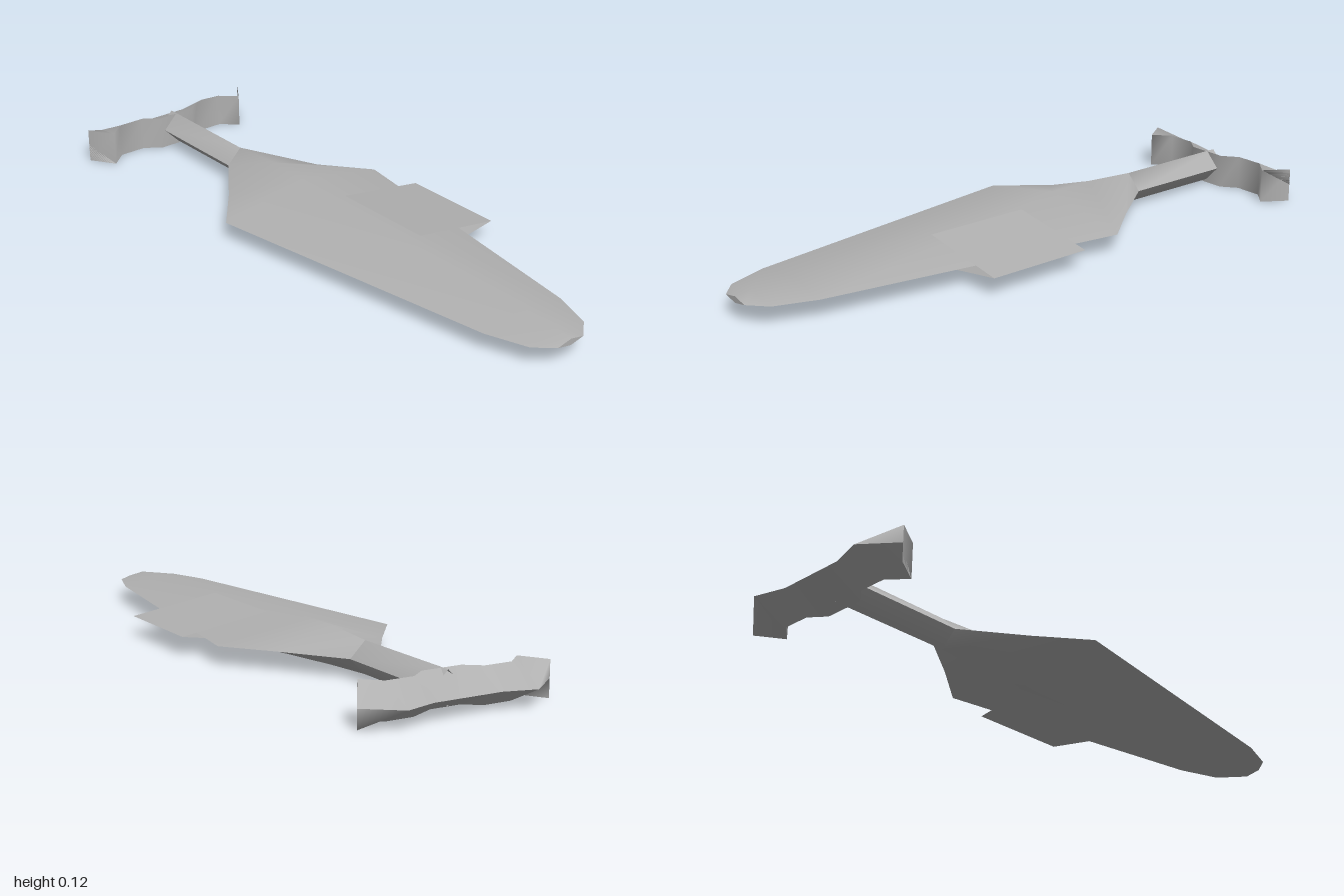
import * as THREE from 'three';

const MID_Y = 0.061, MID_Z = 0.01;

// Smooth sheet through rows of [x, y, z] points
function sheet(rows) {
  const n = rows[0].length, index = [];
  for (let i = 0; i < rows.length - 1; i++) {
    for (let j = 0; j < n - 1; j++) {
      const a = i * n + j, b = a + 1, c = a + n, d = c + 1;
      index.push(a, b, c, b, d, c);
    }
  }
  const geo = new THREE.BufferGeometry();
  geo.setAttribute('position', new THREE.Float32BufferAttribute(rows.flat(2), 3));
  geo.setIndex(index);
  geo.computeVertexNormals();
  return geo;
}

export function createModel() {
  const model = new THREE.Group();
  const grey = new THREE.MeshStandardMaterial({ color: 0xb0b0b0, side: THREE.DoubleSide });
  grey.name = 'plain grey';

  function part(name, ...rowSets) {
    const group = new THREE.Group();
    group.name = name;
    for (const rows of rowSets) {
      const mesh = new THREE.Mesh(sheet(rows), grey);
      mesh.name = name + 'Surface';
      group.add(mesh);
    }
    model.add(group);
  }

  // Diamond section: upper and lower shells meet in sharp side edges
  const shell = (stations, s) => stations.map(([x, w, h]) => [
    [x, MID_Y, MID_Z - s * w], [x, MID_Y + s * h, MID_Z], [x, MID_Y, MID_Z + s * w],
  ]);
  // Flat diamond closing the +x end
  const cap = ([x, w, h]) => [
    [[x, MID_Y - h, MID_Z], [x, MID_Y, MID_Z - w]],
    [[x, MID_Y, MID_Z + w], [x, MID_Y + h, MID_Z]],
  ];

  // Blade: [x, half width, half height]
  const blade = [
    [-0.48, 0.05, 0.05], [-0.3, 0.18, 0.061], [-0.15, 0.3, 0.058],
    [0.82, 0.15, 0.026], [0.95, 0.105, 0.017], [1, 0.05, 0.01],
  ];
  part('blade', shell(blade, 1), shell(blade, -1), cap(blade[blade.length - 1]));

  // Shaft
  const shaft = [[-0.88, 0.05, 0.051], [-0.48, 0.05, 0.05]];
  part('shaft', shell(shaft, 1), shell(shaft, -1));

  // Crossbar: tall wall on the blade side, sloping to a low ridge on the far side
  // Half stations: [z, wall x, ridge z, ridge x]
  const half = [
    [0.312, -0.92, 0.312, -0.92], [0.26, -0.84, 0.21, -1], [0.205, -0.888, 0.21, -1],
    [0.115, -0.888, 0.11, -0.972], [0.065, -0.85, 0.06, -0.972],
  ];
  const bar = [
    ...half.map(([z, x, rz, rx]) => [-z, x, -rz, rx]),
    ...half.slice().reverse(),
  ];
  const top = 0.11, ridge = 0.057;
  part('crossbar',
    bar.map(([z, x, rz, rx]) => [[x, top, z + MID_Z], [rx, ridge, rz + MID_Z]]),
    bar.map(([z, x, rz, rx]) => [[rx, ridge, rz + MID_Z], [x, 0, z + MID_Z]]),
    bar.map(([z, x]) => [[x, 0, z + MID_Z], [x, top, z + MID_Z]]));

  // Side fin: two thin plates meeting at the outer edge
  const fin = (s) => [0.012, 0.358].map((x) => {
    const row = [[x, MID_Y, -0.325], [x, MID_Y + s * 0.047, -0.03]];
    return s > 0 ? row : row.reverse();
  });
  part('sideFin', fin(1), fin(-1));

  return model;
}
